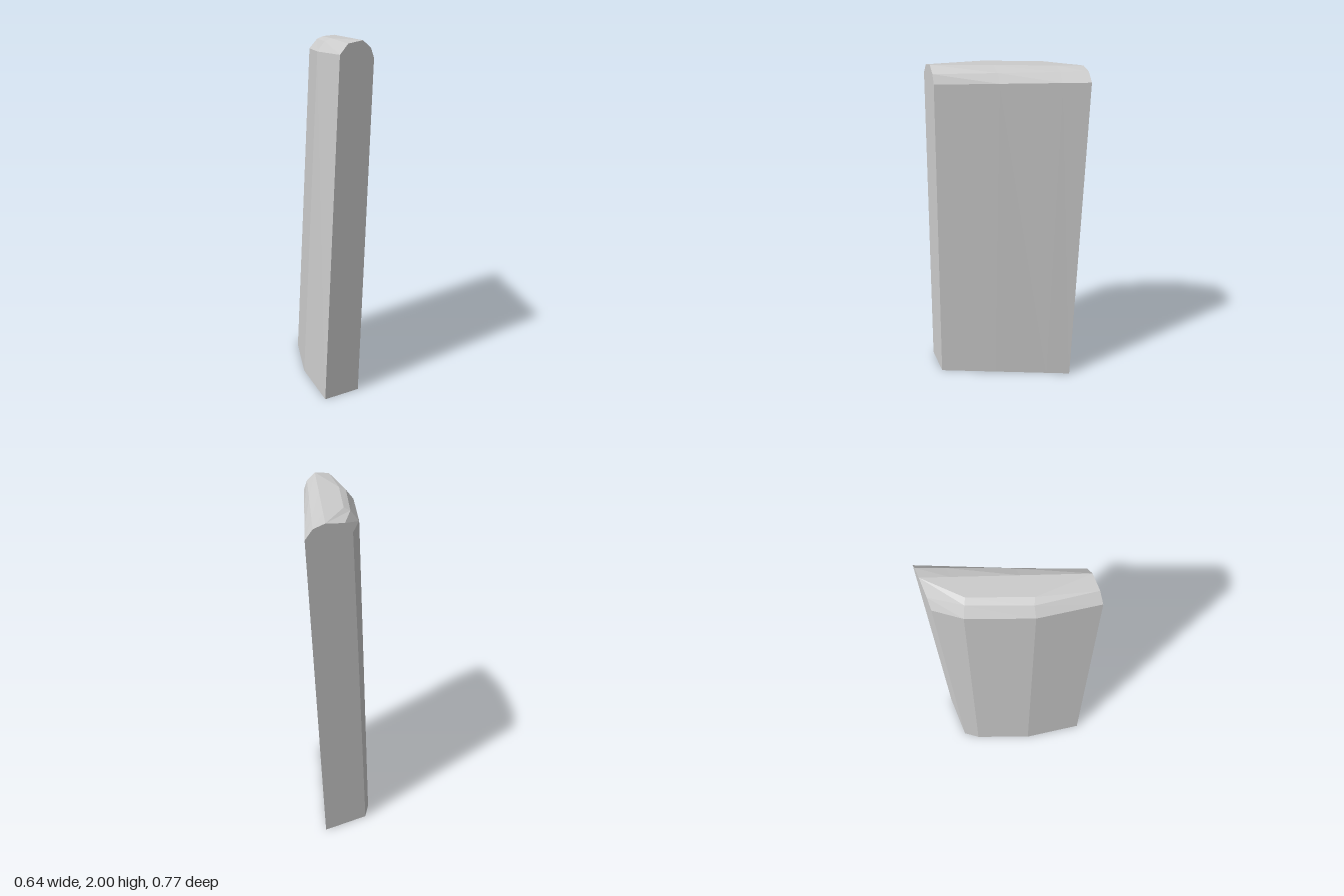
import * as THREE from 'three';

// Cross-sections from front to back, each a loop of [x, y, z]:
// left foot, left shoulder, left bevel, crest start, crest end, right bevel, right shoulder, right foot
const mix = (a, b, t) => a + (b - a) * t;
const rightFront = [[-0.085, 2, 0.385], [-0.035, 1.96, 0.385], [-0.015, 1.908, 0.385], [-0.10, 0, 0.385]];
const rightBack = [[0.21, 2, -0.385], [0.277, 1.982, -0.385], [0.32, 1.932, -0.385], [0.213, 0, -0.385]];
const rightSide = (t) => rightFront.map((p, i) => p.map((v, k) => mix(v, rightBack[i][k], t)));

const sections = [
  [[-0.322, 0, 0.385], [-0.225, 1.93, 0.385], [-0.175, 1.985, 0.385], [-0.085, 2, 0.385], ...rightSide(0)],
  [[-0.26, 0, 0.025], [-0.17, 1.93, 0.06], [-0.127, 1.985, 0.068], [-0.093, 2, 0.085], ...rightSide(0.42)],
  [[-0.125, 0, -0.305], [-0.04, 1.93, -0.258], [0, 1.985, -0.236], [0.03, 2, -0.22], ...rightSide(0.82)],
  [[-0.063, 0, -0.385], [0.06, 1.93, -0.385], [0.105, 1.985, -0.385], [0.21, 2, -0.385], ...rightSide(1)],
];

function loft(loops) {
  const n = loops[0].length;
  const index = [];
  for (let s = 0; s < loops.length - 1; s++) {
    for (let i = 0; i < n; i++) {
      const a = s * n + i, b = s * n + (i + 1) % n;
      index.push(a, b, b + n, a, b + n, a + n);
    }
  }
  // End caps
  const last = (loops.length - 1) * n;
  for (let i = 1; i < n - 1; i++) {
    index.push(0, i + 1, i);
    index.push(last, last + i, last + i + 1);
  }
  const geometry = new THREE.BufferGeometry();
  geometry.setAttribute('position', new THREE.Float32BufferAttribute(loops.flat(2), 3));
  geometry.setIndex(index);
  const flat = geometry.toNonIndexed();
  flat.computeVertexNormals();
  return flat;
}

export function createModel() {
  const group = new THREE.Group();
  group.name = 'slab';
  // Leaning slab with a curved left flank and bevelled top
  const slab = new THREE.Mesh(loft(sections), new THREE.MeshStandardMaterial({ color: 0xcccccc, flatShading: true }));
  slab.name = 'slabBody';
  group.add(slab);
  return group;
}
